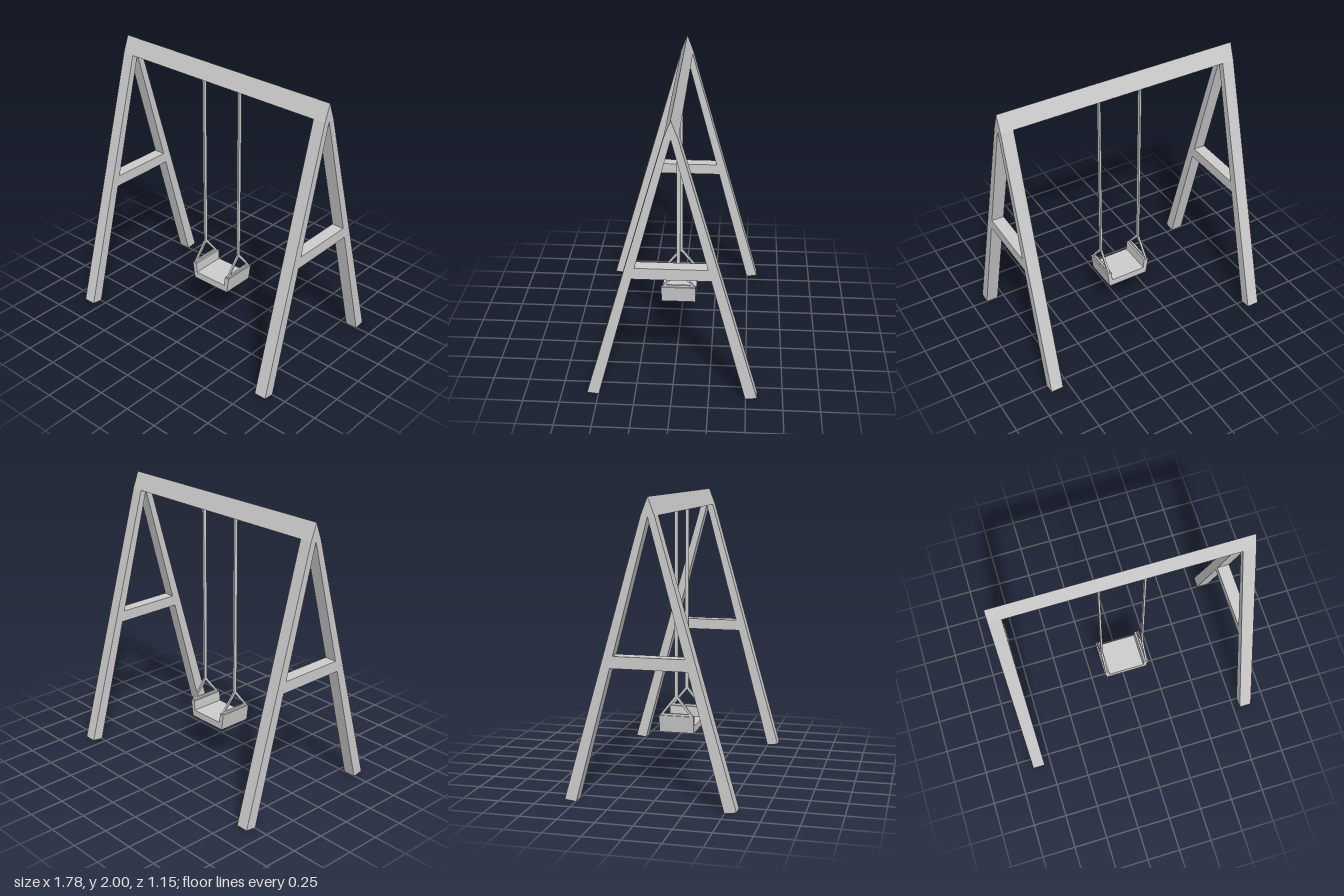
import * as THREE from 'three';

const material = new THREE.MeshStandardMaterial({ color: 0xcccccc, flatShading: true });

const toPoints = (pts) => pts.map(([a, b]) => new THREE.Vector2(a, b));

// Extrudes an outline (with optional holes) evenly about its own plane
function slab(outline, depth, holes = []) {
  const shape = new THREE.Shape(toPoints(outline));
  holes.forEach((h) => shape.holes.push(new THREE.Path(toPoints(h))));
  const geometry = new THREE.ExtrudeGeometry(shape, { depth, bevelEnabled: false });
  return geometry.translate(0, 0, -depth / 2);
}

// Closes a half outline by mirroring it across the vertical axis
const mirrored = (half) => [...half, ...half.map(([a, b]) => [-a, b]).reverse()];

export function createModel() {
  const group = new THREE.Group();
  const add = (name, geometry, x = 0) => {
    const mesh = new THREE.Mesh(geometry, material);
    mesh.name = name;
    mesh.position.x = x;
    group.add(mesh);
    return mesh;
  };
  // Side profiles are drawn in (z, y) and extruded along x
  const sideSlab = (outline, depth, holes) => slab(outline, depth, holes).rotateY(-Math.PI / 2);

  const beamBottom = 1.88, beamHalf = 0.046, frameWidth = 0.09, frameX = 0.845;
  const inner = (y) => 0.497 * (1 - y / beamBottom);

  // Top beam, a wedge with a flat underside
  add('topBeam', sideSlab([[-beamHalf, beamBottom], [beamHalf, beamBottom], [0, 2]], 2 * frameX + frameWidth));

  // A-frames: two splayed legs joined by a crossbar
  const barLow = 0.905, barHigh = 0.985;
  const frame = sideSlab(
    mirrored([[inner(barLow), barLow], [0.497, 0], [0.577, 0.01], [beamHalf, beamBottom]]),
    frameWidth,
    [[[-inner(barHigh), barHigh], [0, beamBottom - 0.005], [inner(barHigh), barHigh]]]
  );
  // Ropes, each ending in a triangular hanger
  const ropeHalf = 0.013;
  const rope = sideSlab(
    mirrored([[0.12, 0.425], [0.12, 0.438], [ropeHalf, 0.575], [ropeHalf, beamBottom + 0.01]]),
    0.014,
    [[[-0.092, 0.45], [0, 0.56], [0.092, 0.45]]]
  );
  for (const side of [1, -1]) {
    const label = side > 0 ? 'left' : 'right';
    add(label + 'Frame', frame, side * frameX);
    add(label + 'Rope', rope, side * 0.158);
  }

  // Seat with raised, slightly flared sides
  add('seat', slab(mirrored([[0.156, 0.312], [0.174, 0.435], [0.138, 0.435], [0.134, 0.363]]), 0.25));

  return group;
}
